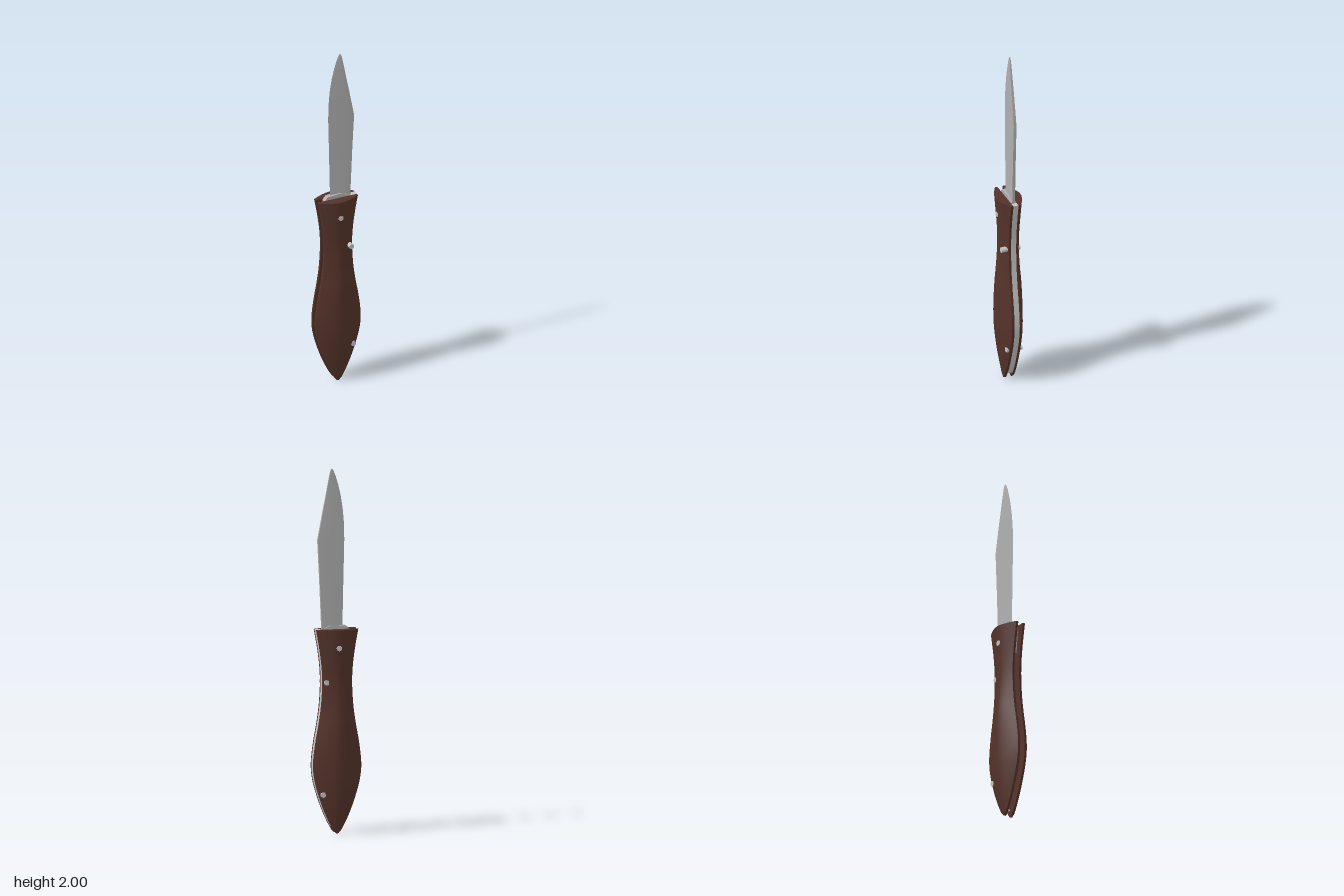
import * as THREE from 'three';
import { toCreasedNormals } from 'three/addons/utils/BufferGeometryUtils.js';

const wood = new THREE.MeshStandardMaterial({ name: 'dark wood', color: 0x55332a });
const blade = new THREE.MeshStandardMaterial({ name: 'blade steel', color: 0xb0b0b0 });
const fittings = new THREE.MeshStandardMaterial({ name: 'bright fittings', color: 0xc4c4c4 });

// Handle stations: height, half width, outer thickness at the centre line
const PROFILE = [
  [0, 0.006, 0.028], [0.02, 0.022, 0.032], [0.1, 0.063, 0.048], [0.2, 0.101, 0.063],
  [0.3, 0.128, 0.072], [0.38, 0.135, 0.074], [0.5, 0.122, 0.074], [0.6, 0.104, 0.071],
  [0.7, 0.09, 0.062], [0.83, 0.083, 0.054], [0.92, 0.087, 0.057], [1.02, 0.1, 0.065], [1.12, 0.118, 0.073],
];
const curve = new THREE.CatmullRomCurve3(PROFILE.map(([y, w, t]) => new THREE.Vector3(w, y, t)));
const stations = curve.getPoints(48);

// Skin a stack of closed rings and cap both ends
function loft(rings, crease = 0.5) {
  const n = rings[0].length;
  const pos = rings.flat(2);
  const index = [];
  for (let i = 0; i < rings.length - 1; i++) {
    for (let j = 0; j < n; j++) {
      const a = i * n + j, b = i * n + (j + 1) % n;
      index.push(a, b, b + n, a, b + n, a + n);
    }
  }
  const last = (rings.length - 1) * n;
  for (let j = 1; j < n - 1; j++) {
    index.push(0, j + 1, j);
    index.push(last, last + j, last + j + 1);
  }
  const g = new THREE.BufferGeometry();
  g.setAttribute('position', new THREE.Float32BufferAttribute(pos, 3));
  g.setIndex(index);
  return toCreasedNormals(g, crease);
}

function add(parent, name, geometry, material) {
  const mesh = new THREE.Mesh(geometry, material);
  mesh.name = name;
  parent.add(mesh);
  return mesh;
}

// One domed handle slab with a flat inner face
function scaleGeometry() {
  const inner = 0.015;
  return loft(stations.map(({ x: w, y, z: t }) => {
    const edge = Math.min(0.029, t - 0.002);
    const ring = [[-w, y, inner]];
    for (let k = -6; k <= 6; k++) {
      const u = k / 6;
      ring.push([u * w, y, edge + (t - edge) * (1 - Math.pow(Math.abs(u), 1.6))]);
    }
    ring.push([w, y, inner]);
    return ring;
  }));
}

// Back spring following the handle's left outline
function springGeometry() {
  return loft(stations.filter(p => p.y > 0.025).map(({ x: w, y }) => {
    const x0 = Math.max(w - 0.03, -w), z = 0.0149;
    return [[x0, y, z], [w, y, z], [w, y, -z], [x0, y, -z]];
  }));
}

// Wedge blade: height, cutting edge x, spine x, half thickness
function bladeGeometry() {
  const rows = [
    [1.05, -0.034, 0.08, 0.008], [1.12, -0.036, 0.082, 0.008], [1.4, -0.042, 0.094, 0.008],
    [1.61, -0.047, 0.105, 0.008], [1.7, -0.045, 0.088, 0.0075], [1.78, -0.038, 0.073, 0.007],
    [1.85, -0.027, 0.059, 0.006], [1.91, -0.013, 0.048, 0.005], [1.96, 0.002, 0.038, 0.004],
    [1.985, 0.012, 0.033, 0.003], [1.996, 0.018, 0.029, 0.002], [2, 0.022, 0.026, 0.001],
  ];
  return loft(rows.map(([y, a, b, t]) => {
    const m = a + (b - a) * 0.66;
    return [[a, y, 0], [m, y, t], [b, y, t], [b, y, -t], [m, y, -t]];
  }), 0.25);
}

export function createModel() {
  const model = new THREE.Group();
  model.name = 'foldingKnife';

  // Handle
  const slab = scaleGeometry();
  add(model, 'frontScale', slab, wood);
  add(model, 'backScale', slab, wood).rotation.y = Math.PI;
  add(model, 'backSpring', springGeometry(), fittings);

  // Blade and the pivot block it grows from
  add(model, 'blade', bladeGeometry(), blade);
  const outline = [[-0.06, 0.96], [0.065, 0.96], [0.08, 1.12], [0.03, 1.143], [-0.055, 1.138], [-0.075, 1.115]];
  const tang = new THREE.ExtrudeGeometry(
    new THREE.Shape(outline.map(([x, y]) => new THREE.Vector2(x, y))), { depth: 0.028, bevelEnabled: false });
  add(model, 'tang', tang.translate(0, 0, -0.014), blade);

  // Through pins: x, y, back z, front z
  const pins = [
    ['pivotPin', 0, 1.02, -0.068, 0.068],
    ['lockButton', 0.063, 0.83, -0.042, 0.067],
    ['endPin', 0.084, 0.215, -0.046, 0.046],
  ];
  for (const [name, x, y, z0, z1] of pins) {
    const g = new THREE.CylinderGeometry(0.015, 0.015, z1 - z0, 12).rotateX(Math.PI / 2);
    add(model, name, g, fittings).position.set(x, y, (z0 + z1) / 2);
  }
  return model;
}
